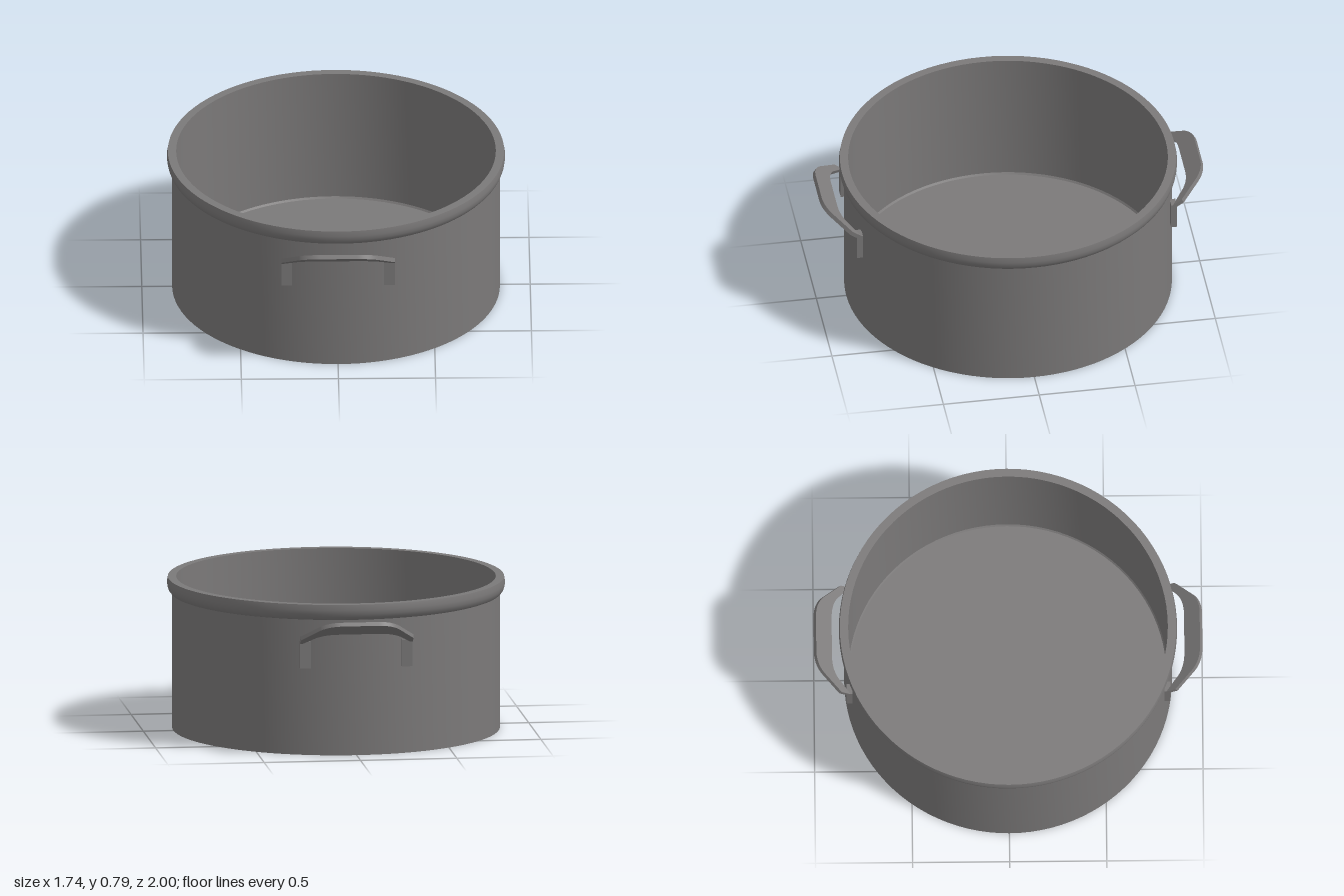
import * as THREE from 'three';
import { toCreasedNormals } from 'three/addons/utils/BufferGeometryUtils.js';

const steel = new THREE.MeshStandardMaterial({ color: 0x7b7979 });
steel.name = 'brushed steel';

function lathe(name, points) {
  const profile = points.map(([r, y]) => new THREE.Vector2(r, y));
  const geometry = toCreasedNormals(new THREE.LatheGeometry(profile, 96), 0.4);
  const mesh = new THREE.Mesh(geometry, steel);
  mesh.name = name;
  return mesh;
}

// Arched flat grip, drawn in its own plane: x across, y outward from the pot
function gripGeometry() {
  const s = new THREE.Shape();
  s.moveTo(0.292, -0.01);
  s.lineTo(0.292, 0.045);
  s.lineTo(0.21, 0.15);
  s.bezierCurveTo(0.188, 0.178, 0.15, 0.203, 0.095, 0.203);
  s.lineTo(-0.095, 0.203);
  s.bezierCurveTo(-0.15, 0.203, -0.188, 0.178, -0.21, 0.15);
  s.lineTo(-0.292, 0.045);
  s.lineTo(-0.292, -0.01);
  s.lineTo(-0.238, 0.045);
  s.bezierCurveTo(-0.21, 0.082, -0.17, 0.105, -0.1, 0.105);
  s.lineTo(0.1, 0.105);
  s.bezierCurveTo(0.17, 0.105, 0.21, 0.082, 0.238, 0.045);
  s.closePath();
  const g = new THREE.ExtrudeGeometry(s, { depth: 0.022, bevelEnabled: false, curveSegments: 10 });
  return toCreasedNormals(g, 0.5);
}

function createHandle(name) {
  const handle = new THREE.Group();
  handle.name = name;

  const grip = new THREE.Mesh(gripGeometry(), steel);
  grip.name = 'grip';
  grip.rotation.x = THREE.MathUtils.degToRad(55);
  grip.position.set(0, 0.603, 0.8214);
  handle.add(grip);

  // Upright tabs that fix the grip to the wall
  for (const side of [-1, 1]) {
    const tab = new THREE.Mesh(new THREE.BoxGeometry(0.055, 0.14, 0.03), steel);
    tab.name = side > 0 ? 'leftTab' : 'rightTab';
    tab.position.set(side * 0.2645, 0.527, 0.819);
    handle.add(tab);
  }
  return handle;
}

export function createModel() {
  const pot = new THREE.Group();
  pot.name = 'cookingPot';

  // Outer wall with closed base, and inner wall with floor
  pot.add(lathe('outerWall', [[0, 0], [0.844, 0], [0.844, 0.71]]));
  pot.add(lathe('innerWall', [[0.823, 0.785], [0.823, 0.072], [0.816, 0.062], [0, 0.062]]));

  // Rolled rim
  pot.add(lathe('rim', [
    [0.842, 0.707], [0.85, 0.71], [0.861, 0.722], [0.868, 0.74],
    [0.871, 0.762], [0.866, 0.79], [0.823, 0.79], [0.823, 0.78],
  ]));

  // Front and back handles
  const front = createHandle('frontHandle');
  const back = createHandle('backHandle');
  back.rotation.y = Math.PI;
  pot.add(front, back);
  return pot;
}
